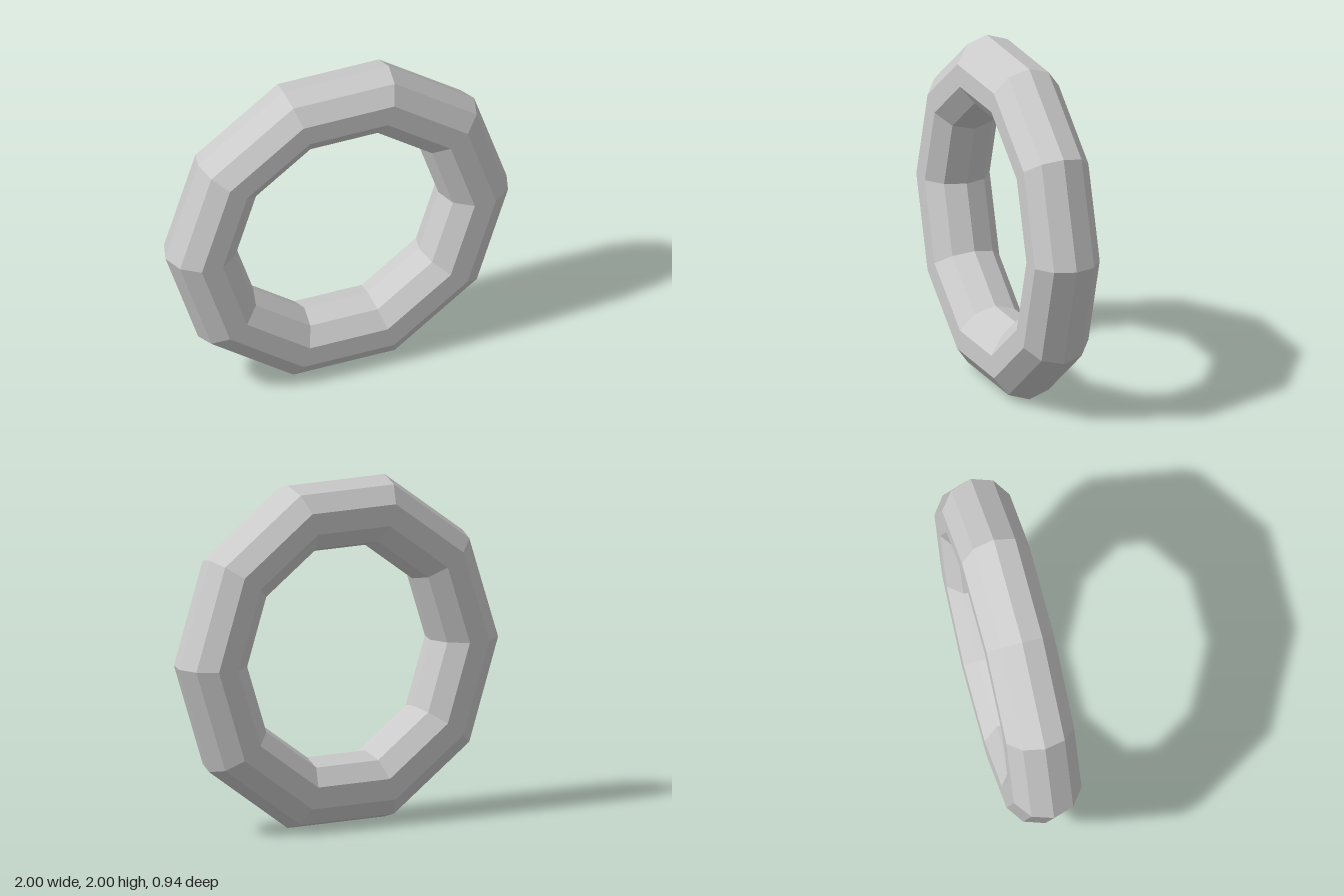
import * as THREE from 'three';

export function createModel() {
  const group = new THREE.Group();
  const sides = 10;
  const step = Math.PI / sides; // 18 degrees
  // Ten-sided ring, flat top and bottom, one unit from centre to its flats
  const outer = 1 / Math.cos(step);
  const inner = 0.6 / Math.cos(step);

  const ring = new THREE.Mesh(
    new THREE.TorusGeometry((outer + inner) / 2, (outer - inner) / 2, sides, sides),
    new THREE.MeshStandardMaterial({ color: 0xcccccc, flatShading: true })
  );
  ring.name = 'ring';
  ring.position.y = 1;
  ring.rotation.y = step; // turned so its left end swings back
  group.add(ring);
  return group;
}
